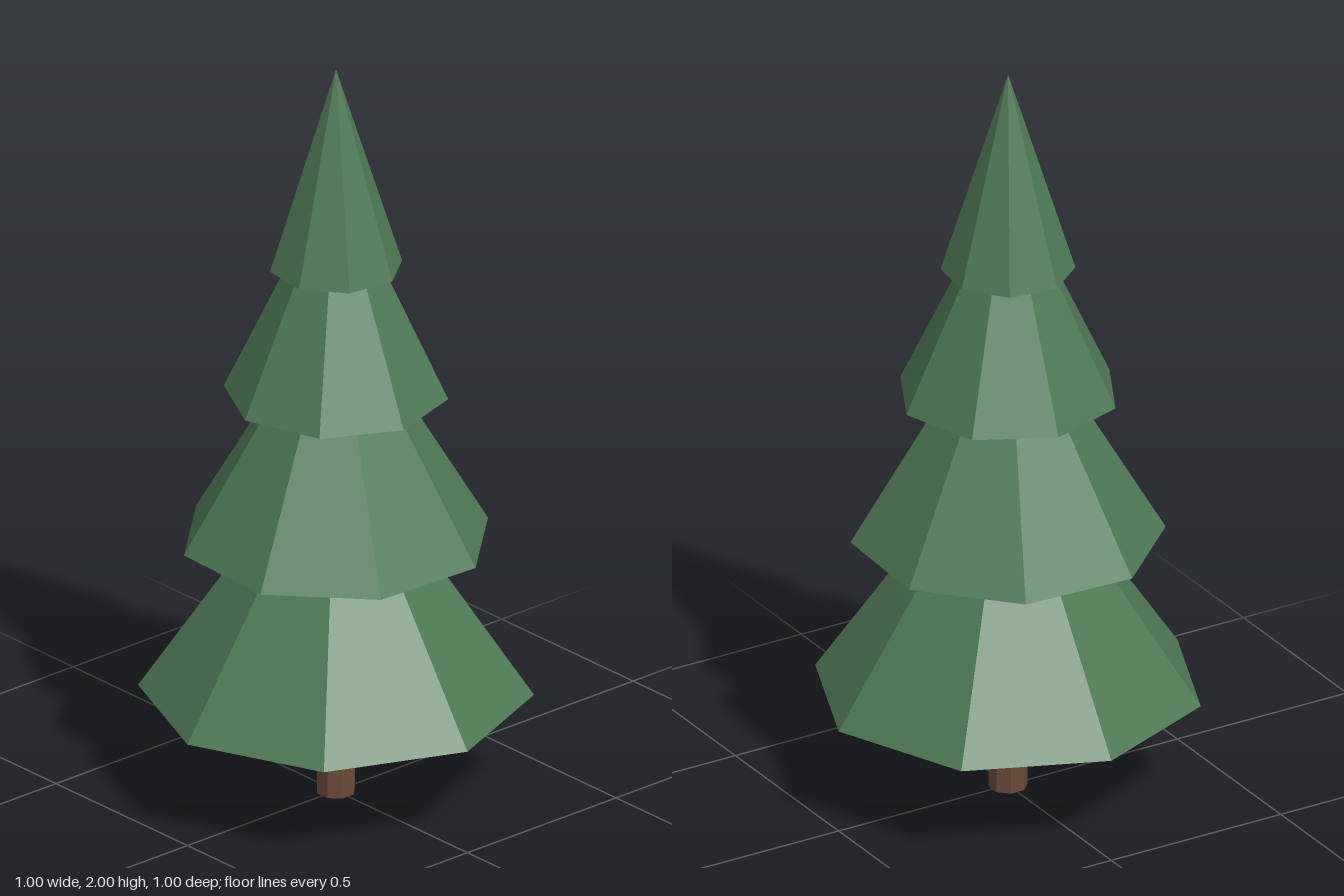
import * as THREE from 'three';

const SIDES = 8;

function flat(geometry) {
  const g = geometry.toNonIndexed();
  g.computeVertexNormals();
  return g;
}

export function createModel() {
  const foliage = new THREE.MeshStandardMaterial({ name: 'foliage green', color: 0x4f7a55, flatShading: true });
  const bark = new THREE.MeshStandardMaterial({ name: 'bark brown', color: 0x6b4a3a, flatShading: true });

  const tree = new THREE.Group();
  tree.name = 'pineTree';

  // Straight eight-sided trunk, reaching into the lowest tier
  const trunk = new THREE.Mesh(flat(new THREE.CylinderGeometry(0.05, 0.05, 0.4, SIDES)), bark);
  trunk.name = 'trunk';
  trunk.position.y = 0.2;
  trunk.rotation.y = Math.PI / SIDES;
  tree.add(trunk);

  // Nested cones, each twisted a little further than the one below
  const tiers = [
    { base: 0.28, radius: 0.5, height: 0.735 },
    { base: 0.705, radius: 0.4, height: 0.68 },
    { base: 1.105, radius: 0.286, height: 0.61 },
    { base: 1.455, radius: 0.17, height: 0.545 },
  ];
  tiers.forEach(({ base, radius, height }, i) => {
    const tier = new THREE.Mesh(flat(new THREE.ConeGeometry(radius, height, SIDES)), foliage);
    tier.name = `foliageTier${i + 1}`;
    tier.position.y = base + height / 2;
    tier.rotation.y = i * 0.35;
    tree.add(tier);
  });

  return tree;
}
